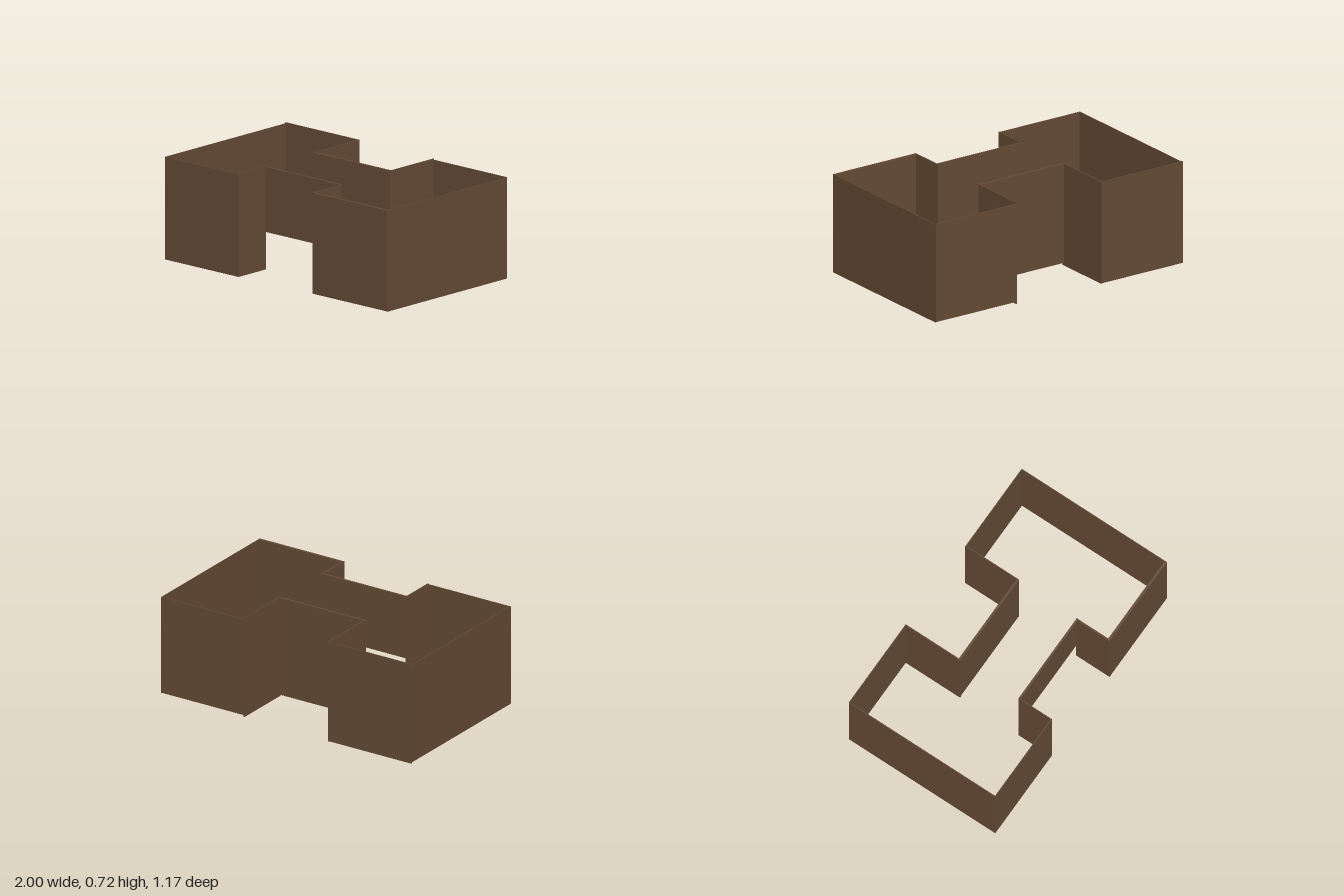
import * as THREE from 'three';

export function createModel() {
  const group = new THREE.Group();
  const brown = new THREE.MeshStandardMaterial({ color: 0x644a34 });
  brown.name = 'brown wall';

  // One upright panel between two plan corners [x, z], from y0 to y1
  function wall(name, [xa, za], [xb, zb], y0, y1, t = 0.006) {
    const length = Math.hypot(xb - xa, zb - za);
    const mesh = new THREE.Mesh(new THREE.BoxGeometry(length, y1 - y0, t), brown);
    mesh.name = name;
    mesh.position.set((xa + xb) / 2, (y0 + y1) / 2, (za + zb) / 2);
    mesh.rotation.y = Math.atan2(za - zb, xb - xa);
    group.add(mesh);
  }

  // Back run, from the right side (-x) to the left side (+x)
  wall('backRightWall', [-1, -0.586], [-0.34, -0.586], 0.003, 0.716);
  wall('backRightReturn', [-0.341, -0.589], [-0.341, -0.15], 0, 0.716, 0.008);
  wall('backMiddleWall', [-0.345, -0.158], [0.342, -0.158], 0.018, 0.714, 0.016);
  wall('backLeftReturn', [0.339, -0.15], [0.339, -0.576], 0.003, 0.714);
  wall('backLeftWall', [0.337, -0.573], [0.993, -0.573], 0.018, 0.706);

  // Long side walls
  wall('leftSideWall', [0.992, -0.575], [0.992, 0.583], 0.016, 0.705);
  wall('rightSideWall', [-0.997, -0.588], [-0.997, 0.578], 0.01, 0.709);

  // Front run; the middle wall hangs above an open passage
  wall('frontLeftWall', [0.325, 0.573], [0.994, 0.573], 0.018, 0.705, 0.018);
  wall('frontLeftReturn', [0.33, 0.582], [0.33, 0.315], 0.018, 0.706, 0.011);
  wall('frontMiddleWall', [-0.347, 0.322], [0.335, 0.322], 0.27, 0.713, 0.014);
  wall('frontRightReturn', [-0.344, 0.315], [-0.344, 0.578], 0.01, 0.712);
  wall('frontRightWall', [-1, 0.575], [-0.341, 0.575], 0.01, 0.708);

  return group;
}
